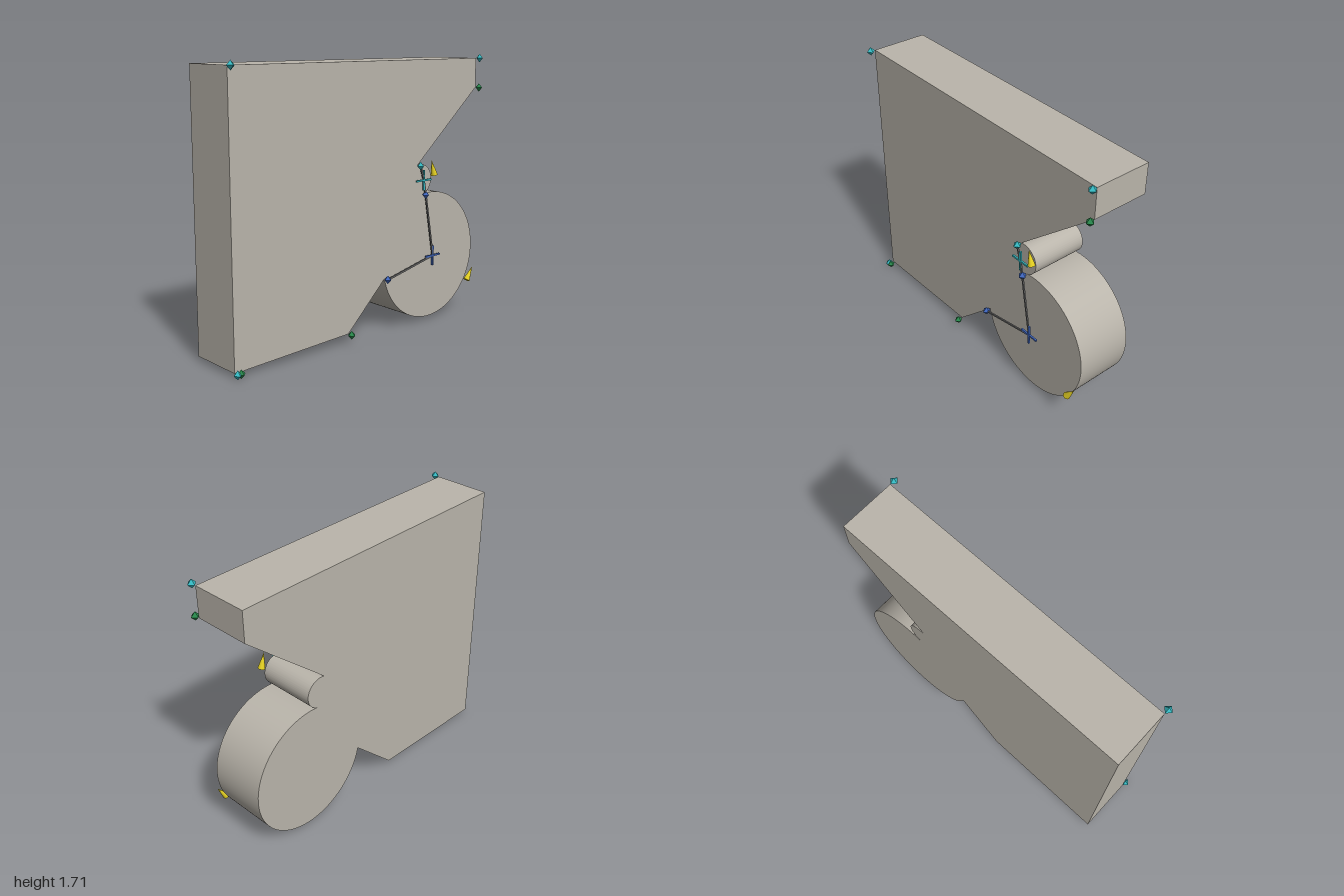
import * as THREE from 'three';
import { toCreasedNormals } from 'three/addons/utils/BufferGeometryUtils.js';

const mat = (name, color) => {
  const m = new THREE.MeshStandardMaterial({ color });
  m.name = name;
  return m;
};

export function createModel() {
  const group = new THREE.Group();
  const stone = mat('warm grey', 0xbab5ab);
  const teal = mat('teal', 0x36b9c2);
  const green = mat('green', 0x27864a);
  const blue = mat('blue', 0x3f66be);
  const yellow = mat('yellow', 0xe2ce22);
  const steel = mat('dark grey', 0x6b6b6b);

  const FRONT = 0.15, BACK = -0.207, MARK_Z = 0.18;
  const add = (name, geo, material, x, y, z = MARK_Z) => {
    const mesh = new THREE.Mesh(geo, material);
    mesh.name = name;
    mesh.position.set(x, y, z);
    group.add(mesh);
    return mesh;
  };

  // Outline points and the two arcs
  const small = { x: 0.463, y: 0.937, from: [0.433, 1.03], to: [0.483, 0.842], color: teal };
  const big = { x: 0.555, y: 0.438, from: [0.483, 0.842], to: [0.155, 0.35], color: blue };
  const angle = (a, p) => Math.atan2(p[1] - a.y, p[0] - a.x);
  const radius = (a) => Math.hypot(a.from[0] - a.x, a.from[1] - a.y);

  // Extruded profile plate
  const shape = new THREE.Shape();
  shape.moveTo(-0.973, 0.03);
  shape.lineTo(-0.973, 1.685);
  shape.lineTo(0.973, 1.685);
  shape.lineTo(0.973, 1.495);
  shape.lineTo(...small.from);
  for (const a of [small, big]) {
    shape.absarc(a.x, a.y, radius(a), angle(a, a.from), angle(a, a.to), true);
  }
  shape.lineTo(-0.145, 0.063);
  shape.lineTo(-0.95, 0.03);
  shape.closePath();
  const plate = new THREE.ExtrudeGeometry(shape, {
    depth: FRONT - BACK, bevelEnabled: false, curveSegments: 48,
  });
  add('profilePlate', toCreasedNormals(plate, 0.4), stone, 0, 0, BACK);

  // Diamond point markers
  const diamond = new THREE.OctahedronGeometry(0.027);
  const markers = [
    [teal, [[-0.973, 1.685], [0.973, 1.685], small.from, [-0.973, 0.03]]],
    [green, [[0.973, 1.495], [-0.145, 0.063], [-0.95, 0.03]]],
    [blue, [big.from, big.to]],
  ];
  for (const [material, points] of markers) {
    for (const [x, y] of points) add('pointMarker', diamond, material, x, y);
  }

  // Centre crosses, radius rods and direction cones of both arcs
  const bar = new THREE.BoxGeometry(0.13, 0.011, 0.011);
  const cone = toCreasedNormals(new THREE.ConeGeometry(0.022, 0.1, 16), 0.6);
  for (const a of [small, big]) {
    add('crossBar', bar, a.color, a.x, a.y);
    add('crossBar', bar, a.color, a.x, a.y).rotation.z = Math.PI / 2;

    for (const p of [a.from, a.to]) {
      const rod = new THREE.BoxGeometry(Math.hypot(p[0] - a.x, p[1] - a.y), 0.011, 0.009);
      add('radiusRod', rod, steel, (p[0] + a.x) / 2, (p[1] + a.y) / 2)
        .rotation.z = angle(a, p);
    }

    // Cone base sits at the middle of the arc and points along its tangent
    const start = angle(a, a.from);
    let end = angle(a, a.to);
    if (end > start) end -= Math.PI * 2;
    if (a === big) end = angle(a, a.to) < 0 ? angle(a, a.to) : end;
    const mid = (start + end) / 2;
    const r = radius(a);
    add('directionCone', cone, yellow,
      a.x + r * Math.cos(mid) - 0.05 * Math.sin(mid),
      a.y + r * Math.sin(mid) + 0.05 * Math.cos(mid)).rotation.z = mid;
  }
  return group;
}
